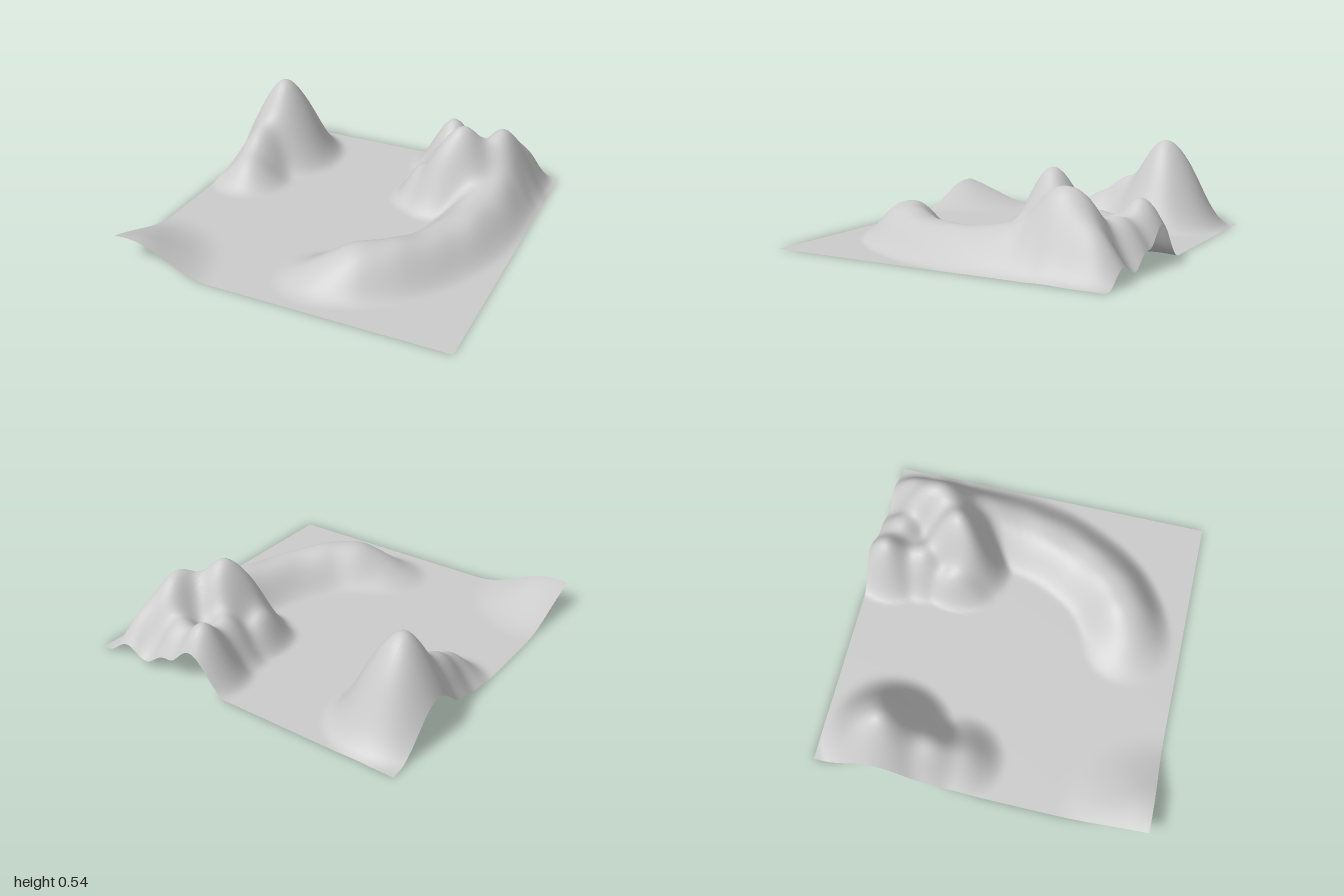
import * as THREE from 'three';

// Hills: centre x, centre z, height, radius in x, radius in z
const HILLS = [
  // lone peak with a spur running down to the front
  [-0.78, -0.6, 0.53, 0.4, 0.42],
  [-0.82, -0.33, 0.28, 0.27, 0.3],
  [-0.8, -0.15, 0.17, 0.27, 0.27],
  // mountain: two summits, back hump, front and side shoulders
  [0.51, -0.48, 0.485, 0.34, 0.35],
  [0.7, -0.67, 0.43, 0.32, 0.4],
  [0.8, -0.84, 0.22, 0.2, 0.28],
  [0.31, -0.88, 0.335, 0.27, 0.29],
  [0.5, -0.84, 0.27, 0.25, 0.28],
  [0.42, -0.38, 0.31, 0.28, 0.26],
  [0.26, -0.45, 0.2, 0.17, 0.27],
  [0.34, -0.67, 0.26, 0.25, 0.26],
  // low rise in the front corner
  [-0.92, 1.1, 0.17, 0.53, 0.65],
];

// Crest of the curved ridge: x, height, z
const CREST = new THREE.CatmullRomCurve3([
  [0.72, 0.26, -0.5], [0.72, 0.2, -0.22], [0.68, 0.18, 0.05], [0.58, 0.18, 0.3],
  [0.45, 0.205, 0.49], [0.31, 0.205, 0.6], [0.21, 0.14, 0.65], [0.14, 0.08, 0.67],
].map((p) => new THREE.Vector3(...p))).getPoints(60);
const RIDGE_WIDTH = 0.29;

// Smooth falloff from 1 at the centre to 0 at radius 1
const falloff = (r) => (r < 1 ? 0.5 + 0.5 * Math.cos(Math.PI * r) : 0);

// Ridge with a rounded top and steeper flanks than the hills
function ridgeHeight(x, z) {
  let best = 0;
  for (const p of CREST) {
    const r = Math.hypot(x - p.x, z - p.z) / RIDGE_WIDTH;
    best = Math.max(best, p.y * falloff(r ** 1.25));
  }
  return best;
}

// Blend all landforms with a soft maximum, then roughen the slopes a little
function heightAt(x, z) {
  const power = 3;
  let sum = ridgeHeight(x, z) ** power;
  for (const [cx, cz, h, rx, rz] of HILLS) {
    sum += (h * falloff(Math.hypot((x - cx) / rx, (z - cz) / rz))) ** power;
  }
  const h = sum ** (1 / power);
  const rough = Math.sin(19 * x + 5 * z) * Math.sin(17 * z - 6 * x);
  return h * (1 + 0.02 * rough);
}

export function createModel() {
  const group = new THREE.Group();
  group.name = 'landscape';

  // Square sheet lifted into hills
  const geometry = new THREE.PlaneGeometry(2, 2, 100, 100).rotateX(-Math.PI / 2);
  const pos = geometry.attributes.position;
  for (let i = 0; i < pos.count; i++) {
    pos.setY(i, heightAt(pos.getX(i), pos.getZ(i)));
  }
  geometry.computeVertexNormals();

  const terrain = new THREE.Mesh(
    geometry,
    new THREE.MeshStandardMaterial({ color: 0xcccccc, side: THREE.DoubleSide }),
  );
  terrain.name = 'terrain';
  group.add(terrain);
  return group;
}
